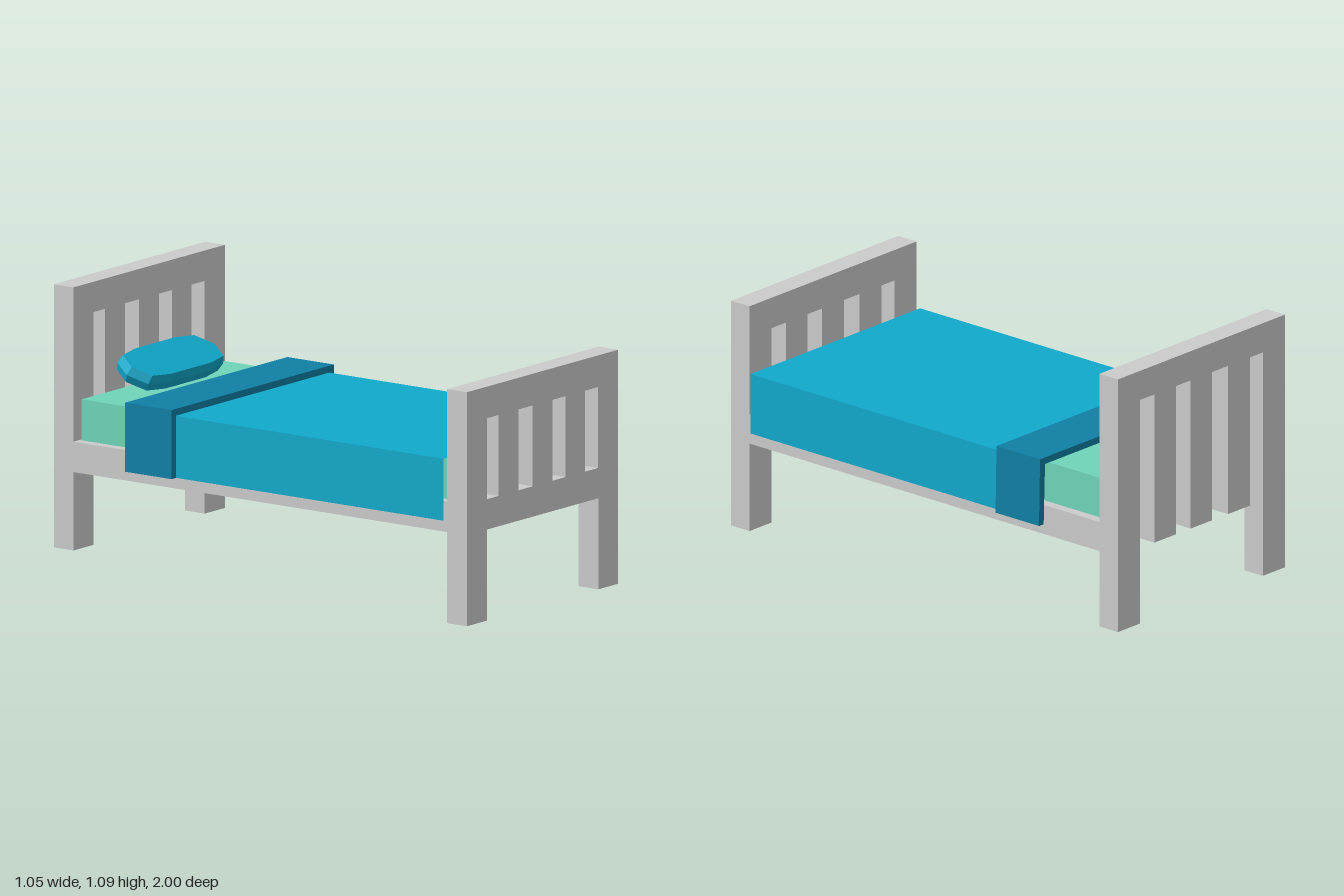
import * as THREE from 'three';
import { ConvexGeometry } from 'three/addons/geometries/ConvexGeometry.js';

const material = (color) => new THREE.MeshStandardMaterial({ color, flatShading: true });
const wood = material(0xcccccc);
const sheet = material(0x6ed4b8);
const teal = material(0x10a9cb);
const darkTeal = material(0x0f7fa4);

const HALF = 0.485;
const LEG = 0.357; // inner edge of the legs
const GAPS = [[-0.357, -0.282], [-0.155, -0.063], [0.063, 0.148], [0.273, 0.356]];

const shapeOf = (points) => new THREE.Shape(points.map(([x, y]) => new THREE.Vector2(x, y)));

function add(group, name, geometry, mat) {
  const mesh = new THREE.Mesh(geometry, mat);
  mesh.name = name;
  group.add(mesh);
  return mesh;
}

// extrude an outline in x,y from z0 to z1
function extrude(shape, z0, z1) {
  return new THREE.ExtrudeGeometry(shape, { depth: z1 - z0, bevelEnabled: false }).translate(0, 0, z0);
}

// box from its low and high corners
function box([x0, y0, z0], [x1, y1, z1]) {
  return new THREE.BoxGeometry(x1 - x0, y1 - y0, z1 - z0)
    .translate((x0 + x1) / 2, (y0 + y1) / 2, (z0 + z1) / 2);
}

export function createModel() {
  const bed = new THREE.Group();
  bed.name = 'bed';

  // footboard: two legs, slots with a rail below them
  const foot = shapeOf([[-HALF, 0], [-LEG, 0], [-LEG, 0.36], [LEG, 0.36], [LEG, 0],
    [HALF, 0], [HALF, 0.925], [-HALF, 0.925]]);
  for (const [a, b] of GAPS) {
    foot.holes.push(new THREE.Path([[a, 0.48], [a, 0.8], [b, 0.8], [b, 0.48]]
      .map(([x, y]) => new THREE.Vector2(x, y))));
  }
  add(bed, 'footboard', extrude(foot, 0.905, 1), wood);

  // headboard: a comb of legs and slats hanging from the top rail
  const comb = [[HALF, 1.09], [-HALF, 1.09], [-HALF, 0.05]];
  GAPS.forEach(([a, b], i) => {
    comb.push([a, i === 0 ? 0.05 : 0.36], [a, 0.97], [b, 0.97], [b, i === 3 ? 0.05 : 0.36]);
  });
  comb.push([HALF, 0.05]);
  add(bed, 'headboard', extrude(shapeOf(comb), -1, -0.905), wood);

  // base and mattress
  add(bed, 'base', box([-HALF, 0.36, -0.905], [HALF, 0.48, 0.905]), wood);
  add(bed, 'mattress', box([-0.445, 0.48, -0.895], [0.445, 0.642, 0.895]), sheet);

  // blanket: a thin sheet over the top and both sides
  const blanket = new THREE.Group();
  blanket.name = 'blanket';
  const cloth = teal.clone();
  cloth.side = THREE.DoubleSide;
  const length = 1.49, middle = 0.15;
  add(blanket, 'blanketTop', new THREE.PlaneGeometry(0.985, length)
    .rotateX(-Math.PI / 2).translate(-0.0025, 0.65, middle), cloth);
  for (const [side, x] of [[-1, -0.495], [1, 0.49]]) {
    add(blanket, 'blanketSide', new THREE.PlaneGeometry(length, 0.245)
      .rotateY(side * Math.PI / 2).translate(x, 0.5275, middle), cloth);
  }
  bed.add(blanket);

  // folded band across the blanket, its left side flaring a little
  const fold = shapeOf([[-0.525, 0.405], [-0.497, 0.405], [-0.497, 0.651], [0.487, 0.651],
    [0.495, 0.405], [0.522, 0.405], [0.516, 0.678], [-0.525, 0.678]]);
  add(bed, 'blanketFold', extrude(fold, -0.625, -0.4), darkTeal);

  // pillow: stacked outlines, widest at the middle, leaning on the headboard
  const outline = [[0.28, 0], [0.24, 0.082], [0.135, 0.1], [-0.135, 0.1], [-0.24, 0.082],
    [-0.28, 0], [-0.24, -0.082], [-0.135, -0.1], [0.135, -0.1], [0.24, -0.082]];
  const points = [];
  for (const [y, s] of [[-0.034, 0.95], [0, 1], [0.034, 0.95]]) {
    for (const [x, z] of outline) points.push(new THREE.Vector3(x * s, y, z * s));
  }
  const pillow = add(bed, 'pillow', new ConvexGeometry(points), teal);
  pillow.rotation.x = 0.42;
  pillow.position.set(-0.003, 0.722, -0.8);

  return bed;
}
